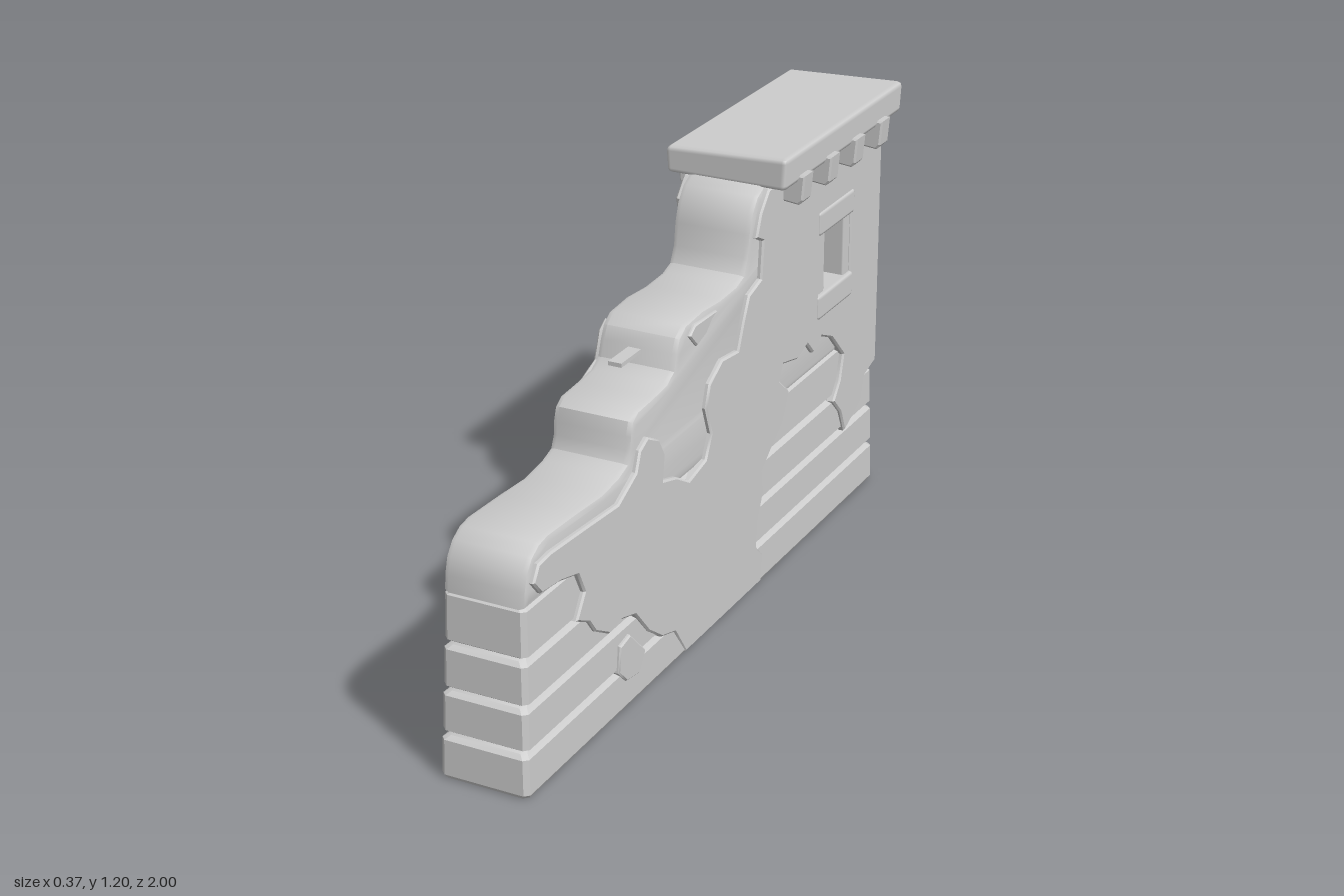
import * as THREE from 'three';
import { toCreasedNormals } from 'three/addons/utils/BufferGeometryUtils.js';
import { RoundedBoxGeometry } from 'three/addons/geometries/RoundedBoxGeometry.js';

export function createModel() {
  const root = new THREE.Group();
  const stone = new THREE.MeshStandardMaterial({ color: 0xcccccc, side: THREE.DoubleSide });
  stone.name = 'pale grey stone';

  const add = (name, geo) => {
    const m = new THREE.Mesh(geo, stone);
    m.name = name;
    root.add(m);
    return m;
  };
  const box = (name, x0, x1, y0, y1, z0, z1, r = 0.01) => {
    const m = add(name, new RoundedBoxGeometry(x1 - x0, y1 - y0, z1 - z0, 1, r));
    m.position.set((x0 + x1) / 2, (y0 + y1) / 2, (z0 + z1) / 2);
    return m;
  };
  // Outline given as [z, y] pairs, extruded across x from x0 to x1
  const slab = (name, pts, x0, x1, bevel, segs, hole) => {
    const toV = ([z, y]) => new THREE.Vector2(-z, y);
    const shape = new THREE.Shape(pts.map(toV));
    if (hole) shape.holes.push(new THREE.Path(hole.map(toV)));
    const geo = new THREE.ExtrudeGeometry(shape, {
      depth: x1 - x0 - 2 * bevel, bevelEnabled: true, bevelThickness: bevel,
      bevelSize: bevel, bevelOffset: -bevel, bevelSegments: segs,
    });
    geo.translate(0, 0, x0 + bevel);
    geo.rotateY(Math.PI / 2);
    return add(name, toCreasedNormals(geo, 0.65));
  };

  // Stepped upper wall with a window opening
  const windowHole = [[-0.575, 0.65], [-0.78, 0.65], [-0.78, 0.935], [-0.575, 0.935]];
  const steps = [
    [0.975, 0.487], [0.972, 0.53], [0.96, 0.572], [0.935, 0.605], [0.9, 0.625], [0.86, 0.632],
    [0.72, 0.627], [0.6, 0.62], [0.52, 0.63], [0.475, 0.645], [0.462, 0.675], [0.46, 0.71],
    [0.448, 0.745], [0.42, 0.763], [0.34, 0.768], [0.27, 0.775], [0.235, 0.795], [0.222, 0.835],
    [0.205, 0.87], [0.17, 0.893], [0.08, 0.9], [-0.02, 0.893], [-0.11, 0.897], [-0.15, 0.91],
    [-0.17, 0.95], [-0.178, 1.01], [-0.195, 1.06], [-0.225, 1.098], [-0.26, 1.115],
    [-0.968, 1.115], [-0.968, 0.487],
  ];
  slab('upperWall', steps, -0.11, 0.11, 0.016, 2, windowHole);

  // Lower stone courses: chamfered rings with grooves, open underneath
  const rings = [];
  const joints = [0, 0.118, 0.235, 0.355, 0.495];
  for (let i = 0; i < 4; i++) {
    const w = 0.12 - i * 0.003, f = 1 - i * 0.007, b = 0.98 - i * 0.003;
    const a = joints[i], c = joints[i + 1];
    for (const [y, inset] of [[a, i ? 0.014 : 0.006], [a + 0.01, 0], [c - 0.014, 0.002], [c - 0.004, 0.014]]) {
      rings.push({ y, w: w - inset, f: f - inset, b: b - inset });
    }
  }
  const verts = [], index = [], ch = 0.012;
  for (const { y, w, f, b } of rings) {
    for (const [x, z] of [[w, f - ch], [w, -b + ch], [w - ch, -b], [-w + ch, -b],
      [-w, -b + ch], [-w, f - ch], [-w + ch, f], [w - ch, f]]) verts.push(x, y, z);
  }
  for (let r = 0; r < rings.length - 1; r++) {
    for (let k = 0; k < 8; k++) {
      const p = r * 8 + k, q = r * 8 + (k + 1) % 8;
      index.push(p, q, q + 8, p, q + 8, p + 8);
    }
  }
  const courses = new THREE.BufferGeometry();
  courses.setAttribute('position', new THREE.Float32BufferAttribute(verts, 3));
  courses.setIndex(index);
  add('stoneCourses', toCreasedNormals(courses, 0.4));

  // Ragged plaster coat on the left (+x) face
  slab('plasterLeft', [
    [0.2, 0.004], [0.26, 0.09], [0.33, 0.11], [0.4, 0.16], [0.47, 0.24], [0.54, 0.26], [0.6, 0.25],
    [0.67, 0.29], [0.7, 0.33], [0.76, 0.36], [0.72, 0.42], [0.75, 0.48], [0.83, 0.5], [0.92, 0.51],
    [0.955, 0.55], [0.93, 0.59], [0.87, 0.595], [0.7, 0.585], [0.55, 0.575], [0.46, 0.62], [0.44, 0.67],
    [0.4, 0.69], [0.34, 0.66], [0.31, 0.61], [0.32, 0.54], [0.25, 0.52], [0.18, 0.48], [0.09, 0.5],
    [0.06, 0.56], [0.09, 0.64], [0.07, 0.7], [0, 0.74], [-0.09, 0.73], [-0.12, 0.8], [-0.15, 0.86],
    [-0.22, 0.88], [-0.23, 0.98], [-0.19, 1.0], [-0.215, 1.06], [-0.26, 1.11], [-0.972, 1.11],
    [-0.972, 0.37], [-0.9, 0.35], [-0.88, 0.28], [-0.77, 0.23], [-0.74, 0.3], [-0.69, 0.35], [-0.73, 0.4],
    [-0.75, 0.47], [-0.67, 0.55], [-0.6, 0.58], [-0.55, 0.55], [-0.51, 0.59], [-0.45, 0.57], [-0.36, 0.59],
    [-0.34, 0.55], [-0.4, 0.5], [-0.36, 0.42], [-0.29, 0.37], [-0.24, 0.33], [-0.25, 0.27], [-0.22, 0.2],
    [-0.21, 0.12], [-0.25, 0.08], [-0.24, 0.004],
  ], 0.095, 0.123, 0.005, 1, windowHole);
  slab('plasterFlakeLow', [[0.56, 0.12], [0.55, 0.19], [0.5, 0.2], [0.42, 0.12], [0.45, 0.07], [0.52, 0.08]],
    0.1, 0.125, 0.004, 1);
  slab('plasterFlakeHigh', [[0.17, 0.865], [0.13, 0.825], [0.08, 0.84], [0.05, 0.865], [0.02, 0.88], [0.14, 0.885]],
    0.09, 0.118, 0.004, 1);

  // Ragged plaster coat on the right (-x) face
  slab('plasterRight', [
    [0.11, 0.004], [0.08, 0.05], [-0.02, 0.12], [-0.11, 0.13], [-0.21, 0.17], [-0.26, 0.16], [-0.3, 0.09],
    [-0.41, 0.14], [-0.5, 0.2], [-0.54, 0.31], [-0.6, 0.35], [-0.69, 0.36], [-0.73, 0.43], [-0.78, 0.44],
    [-0.86, 0.54], [-0.91, 0.62], [-0.972, 0.6], [-0.972, 1.11], [-0.26, 1.11], [-0.215, 1.06],
    [-0.24, 0.97], [-0.25, 0.89], [-0.24, 0.81], [-0.18, 0.74], [-0.11, 0.69], [-0.02, 0.68], [0.04, 0.73],
    [0.06, 0.82], [0.13, 0.83], [0.17, 0.87], [0.2, 0.85], [0.225, 0.78], [0.29, 0.755], [0.34, 0.73],
    [0.39, 0.66], [0.43, 0.55], [0.51, 0.49], [0.54, 0.57], [0.62, 0.59], [0.69, 0.47], [0.67, 0.38],
    [0.72, 0.27], [0.62, 0.24], [0.56, 0.15], [0.52, 0.08], [0.47, 0.004],
  ], -0.123, -0.095, 0.005, 1, windowHole);

  // Plaster wrapping the back end
  const backPts = [[0.12, 0.38], [0.12, 1.11], [-0.12, 1.11], [-0.12, 0.6], [-0.07, 0.63], [-0.03, 0.6],
    [0, 0.52], [0.04, 0.5], [0.06, 0.42]];
  const backShape = new THREE.Shape(backPts.map(([x, y]) => new THREE.Vector2(x, y)));
  const back = new THREE.ExtrudeGeometry(backShape, {
    depth: 0.016, bevelEnabled: true, bevelThickness: 0.004, bevelSize: 0.004, bevelOffset: -0.004, bevelSegments: 1,
  });
  add('plasterBack', back).position.z = -0.976;

  // Window frame running through the wall
  box('windowLintel', -0.129, 0.129, 0.878, 0.946, -0.79, -0.565);
  box('windowSill', -0.129, 0.129, 0.637, 0.707, -0.79, -0.565);
  box('windowJambFront', -0.118, 0.118, 0.69, 0.89, -0.62, -0.572, 0.006);
  box('windowJambBack', -0.118, 0.118, 0.69, 0.89, -0.783, -0.742, 0.006);

  // Roof slab, slightly higher on the left
  const roof = box('roofSlab', -0.175, 0.17, 1.108, 1.195, -1, -0.258, 0.014);
  const rp = roof.geometry.attributes.position;
  for (let i = 0; i < rp.count; i++) {
    const x = rp.getX(i);
    if (rp.getY(i) > 0) rp.setY(i, rp.getY(i) - Math.max(0, -x - 0.1) * 0.22);
    else rp.setX(i, x * 0.98);
  }

  // Corbels under the roof, with sloped undersides
  for (const s of [1, -1]) {
    for (const z of [-0.37, -0.535, -0.697, -0.86]) {
      const shape = new THREE.Shape([[0.09, 1.055], [0.165, 1.047], [0.177, 1.06], [0.183, 1.128], [0.09, 1.128]]
        .map(([x, y]) => new THREE.Vector2(x, y)));
      const geo = new THREE.ExtrudeGeometry(shape, {
        depth: 0.046, bevelEnabled: true, bevelThickness: 0.005, bevelSize: 0.005, bevelOffset: -0.005, bevelSegments: 1,
      });
      geo.translate(0, 0, -0.023);
      if (s < 0) geo.rotateY(Math.PI);
      add('corbel', geo).position.z = z;
    }
  }

  // Small peg sticking out of the middle step
  add('peg', new THREE.BoxGeometry(0.036, 0.011, 0.14)).position.set(-0.008, 0.826, 0.255);

  return root;
}
